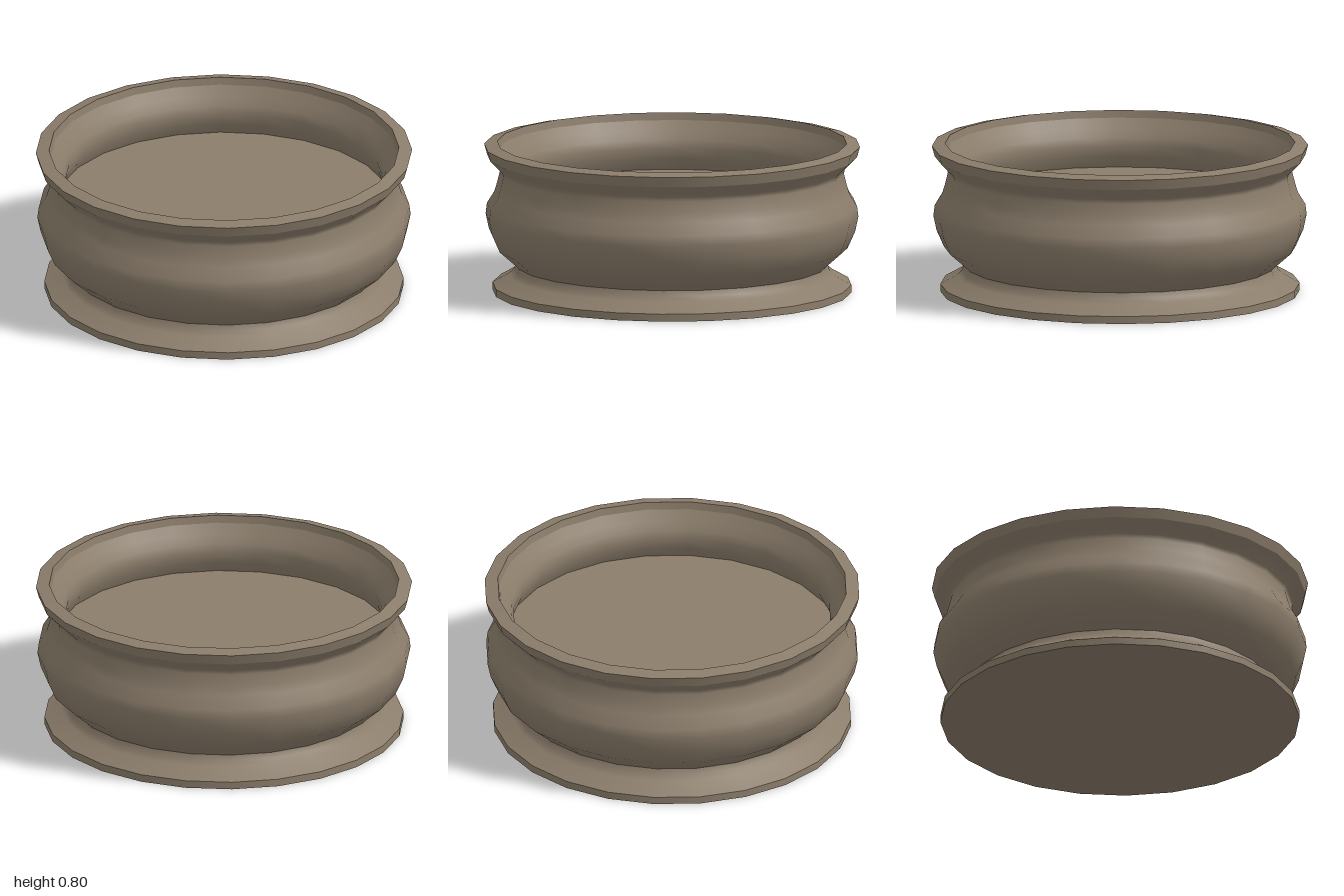
import * as THREE from 'three';

const SIDES = 24;

export function createModel() {
  const group = new THREE.Group();
  group.name = 'pedestalBowl';
  const stone = new THREE.MeshStandardMaterial({ color: 0x8b7d6b });
  stone.name = 'taupe stone';

  // Each band is smooth within itself and creased against its neighbours
  const band = (name, profile) => {
    const points = profile.map(([r, y]) => new THREE.Vector2(r, y));
    const mesh = new THREE.Mesh(new THREE.LatheGeometry(points, SIDES), stone);
    mesh.name = name;
    group.add(mesh);
  };

  // Foot
  band('underside', [[0, 0], [0.955, 0]]);
  band('footEdge', [[0.955, 0], [0.955, 0.04]]);
  band('footFlare', [[0.955, 0.04], [0.865, 0.09], [0.84, 0.115], [0.83, 0.145]]);

  // Bulging belly, narrowing to the neck and flaring to the rim
  band('belly', [
    [0.83, 0.145], [0.85, 0.165], [0.935, 0.24], [0.975, 0.33], [0.992, 0.41],
    [0.985, 0.465], [0.945, 0.53], [0.93, 0.58], [0.915, 0.64], [0.92, 0.665], [0.985, 0.73],
  ]);

  // Rim
  band('rimEdge', [[0.985, 0.73], [1, 0.785]]);
  band('rimTop', [[1, 0.785], [0.93, 0.8]]);
  band('rimLip', [[0.93, 0.8], [0.922, 0.76]]);

  // Inner wall pinches at the neck, then widens to the floor
  band('innerWall', [
    [0.922, 0.76], [0.89, 0.71], [0.86, 0.665], [0.846, 0.62], [0.855, 0.56], [0.885, 0.5],
  ]);
  band('floor', [[0.885, 0.5], [0, 0.5]]);

  return group;
}
